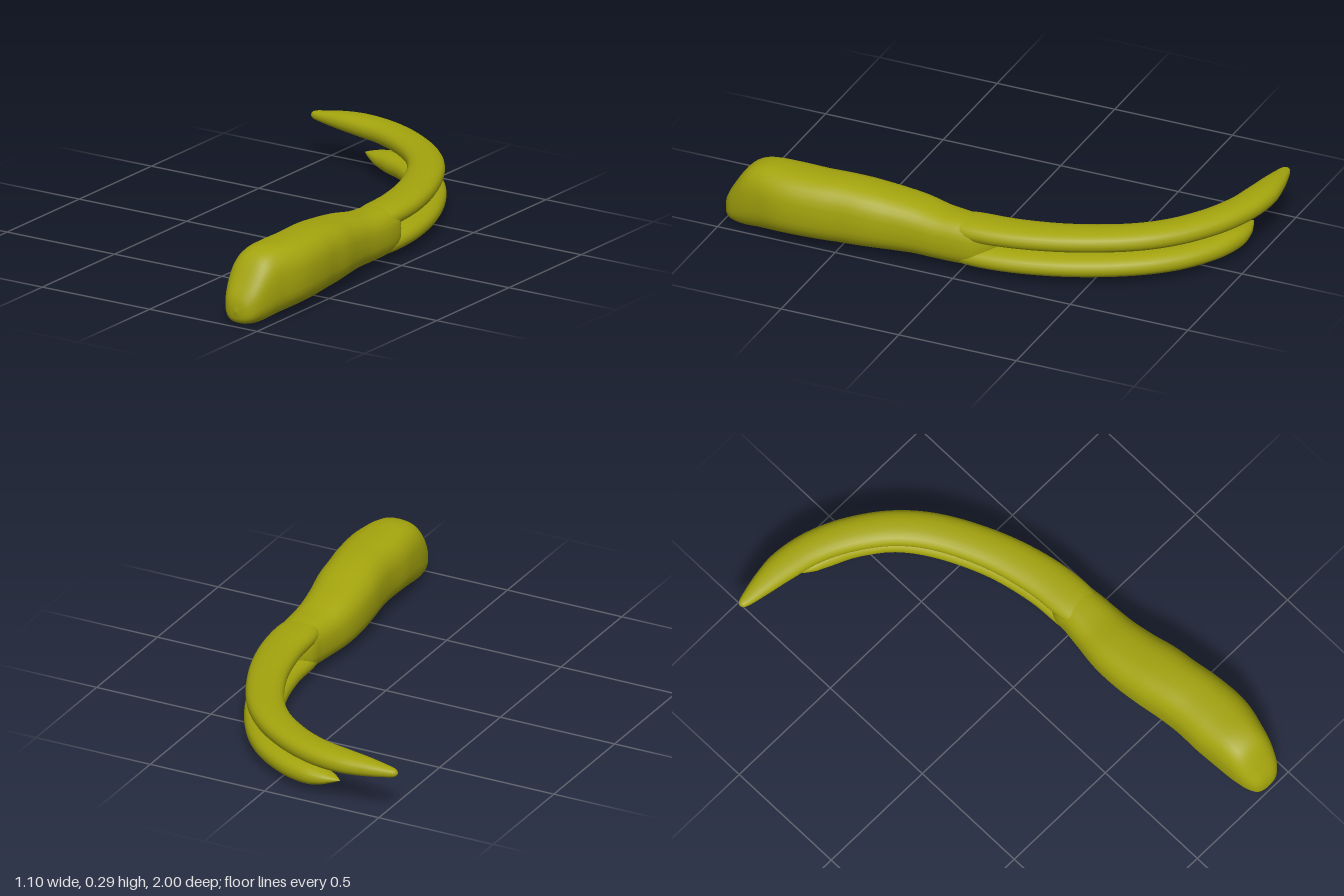
import * as THREE from 'three';

// Smooth loft: each row is [x, y, z, halfWidth, halfHeight] along a level path.
// power 2 gives an ellipse, higher values a rounder-cornered box section.
function loft(rows, power, steps, sides) {
  const curve = (pick) =>
    new THREE.CatmullRomCurve3(rows.map(pick), false, 'catmullrom', 0.5);
  const path = curve((r) => new THREE.Vector3(r[0], r[1], r[2]));
  const size = curve((r) => new THREE.Vector3(r[3], r[4], 0));
  const up = new THREE.Vector3(0, 1, 0);
  const round = (v) => Math.sign(v) * Math.abs(v) ** (2 / power);
  const positions = [], index = [];
  for (let i = 0; i <= steps; i++) {
    const c = path.getPoint(i / steps), s = size.getPoint(i / steps);
    const side = path.getTangent(i / steps).setY(0).normalize().cross(up);
    for (let j = 0; j < sides; j++) {
      const a = (j / sides) * Math.PI * 2;
      const w = Math.max(0, s.x) * round(Math.cos(a));
      const h = Math.max(0, s.y) * round(Math.sin(a));
      positions.push(c.x + side.x * w, c.y + h, c.z + side.z * w);
      if (i === steps) continue;
      const p = i * sides + j, q = i * sides + ((j + 1) % sides);
      index.push(p, p + sides, q, q, p + sides, q + sides);
    }
  }
  const geometry = new THREE.BufferGeometry();
  geometry.setAttribute('position', new THREE.Float32BufferAttribute(positions, 3));
  geometry.setIndex(index);
  geometry.computeVertexNormals();
  return geometry;
}

export function createModel() {
  const group = new THREE.Group();
  const material = new THREE.MeshStandardMaterial({ color: 0xa4a40e });
  const add = (name, geometry) => {
    const mesh = new THREE.Mesh(geometry, material);
    mesh.name = name;
    group.add(mesh);
  };

  // Thick handle, from the slanted rounded nose back to the fork
  add('handle', loft([
    [0.40, 0.06, 1.0, 0, 0],
    [0.40, 0.065, 0.99, 0.045, 0.045],
    [0.40, 0.085, 0.96, 0.075, 0.08],
    [0.402, 0.125, 0.90, 0.098, 0.125],
    [0.406, 0.145, 0.83, 0.113, 0.137],
    [0.414, 0.152, 0.72, 0.13, 0.133],
    [0.412, 0.152, 0.60, 0.128, 0.131],
    [0.40, 0.15, 0.50, 0.125, 0.13],
    [0.387, 0.145, 0.40, 0.127, 0.125],
    [0.372, 0.137, 0.30, 0.122, 0.117],
    [0.365, 0.13, 0.20, 0.115, 0.108],
    [0.37, 0.121, 0.10, 0.105, 0.099],
    [0.374, 0.119, 0.0, 0.095, 0.096],
    [0.368, 0.119, -0.06, 0.085, 0.088],
    [0.364, 0.119, -0.11, 0.05, 0.045],
    [0.362, 0.119, -0.14, 0, 0],
  ], 2.6, 75, 32));

  // Longer upper prong, curving round to a rounded tip
  add('upperProng', loft([
    [0.372, 0.172, 0.07, 0.06, 0.035],
    [0.372, 0.172, -0.03, 0.085, 0.043],
    [0.357, 0.172, -0.2, 0.084, 0.043],
    [0.304, 0.172, -0.4, 0.078, 0.043],
    [0.21, 0.172, -0.6, 0.074, 0.043],
    [0.10, 0.172, -0.74, 0.071, 0.043],
    [-0.04, 0.172, -0.845, 0.069, 0.043],
    [-0.18, 0.173, -0.91, 0.066, 0.043],
    [-0.31, 0.174, -0.937, 0.062, 0.041],
    [-0.41, 0.175, -0.942, 0.048, 0.034],
    [-0.50, 0.175, -0.941, 0.029, 0.022],
    [-0.54, 0.175, -0.941, 0.016, 0.014],
    [-0.552, 0.175, -0.941, 0, 0],
  ], 2.3, 72, 24));

  // Shorter lower prong, ending in a sharper point
  add('lowerProng', loft([
    [0.374, 0.067, 0.07, 0.06, 0.035],
    [0.374, 0.067, -0.03, 0.085, 0.043],
    [0.362, 0.067, -0.2, 0.084, 0.043],
    [0.311, 0.067, -0.4, 0.078, 0.043],
    [0.218, 0.067, -0.6, 0.073, 0.043],
    [0.11, 0.067, -0.745, 0.069, 0.043],
    [-0.02, 0.067, -0.842, 0.066, 0.043],
    [-0.13, 0.067, -0.888, 0.059, 0.042],
    [-0.20, 0.069, -0.904, 0.046, 0.031],
    [-0.25, 0.073, -0.912, 0.025, 0.015],
    [-0.288, 0.075, -0.918, 0, 0],
  ], 2.3, 60, 24));

  return group;
}
